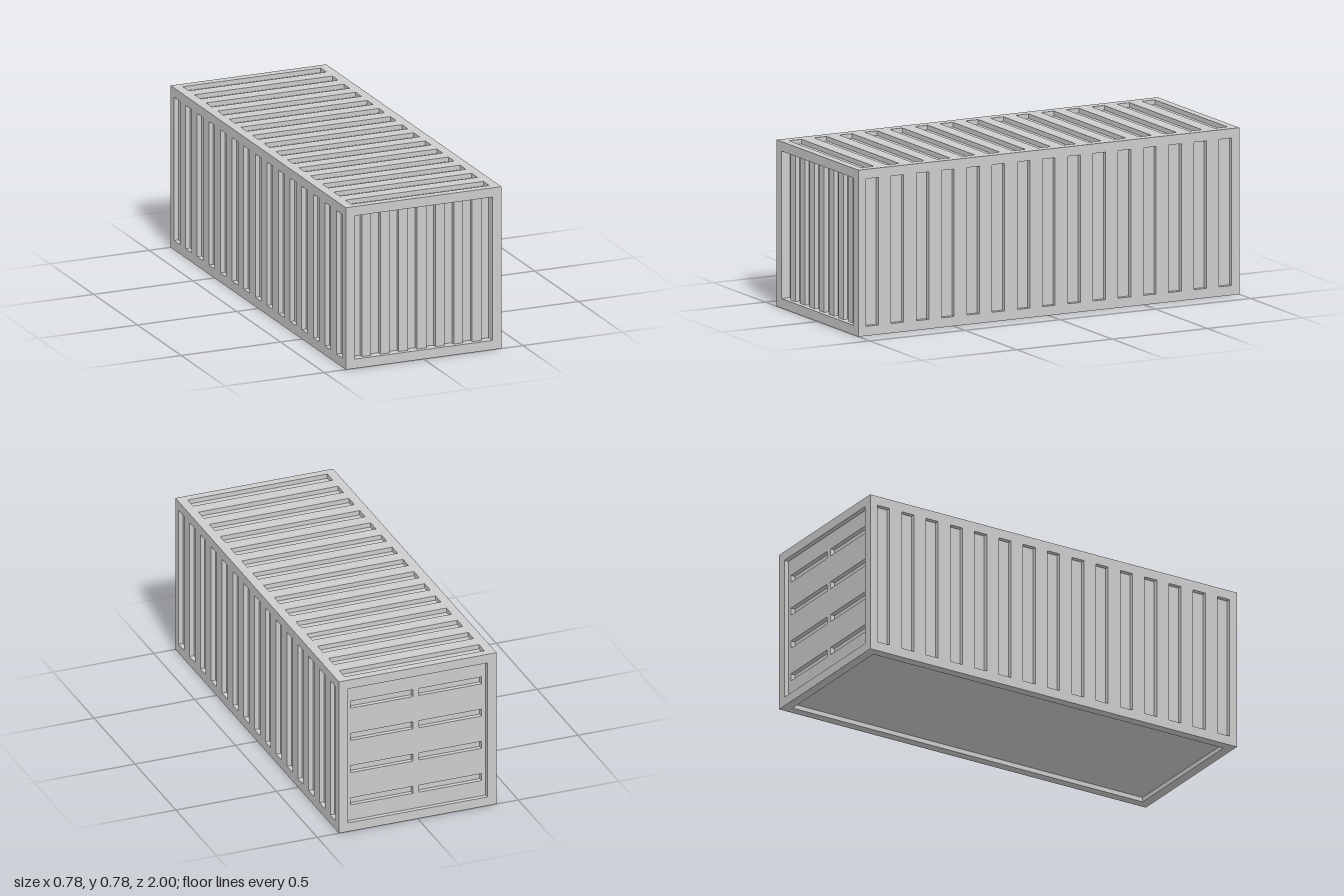
import * as THREE from 'three';

const W = 0.784, H = 0.784, L = 2;   // outer size
const D = 0.022;                     // depth of one recess step
const RIM = 0.045;                   // width of the frame around each face
const SLOTS = 15, PITCH = 0.1325, SLOT = 0.066;

export function createModel() {
  const group = new THREE.Group();
  const steel = new THREE.MeshStandardMaterial({ color: 0xcccccc });
  steel.name = 'grey steel';

  const add = (name, geometry, x, y, z) => {
    const mesh = new THREE.Mesh(geometry, steel);
    mesh.name = name;
    mesh.position.set(x, y, z);
    group.add(mesh);
    return mesh;
  };

  // rectangle centred on (cx, cy)
  const rect = (Type, cx, cy, w, h) => new Type([
    [-1, -1], [1, -1], [1, 1], [-1, 1],
  ].map(([sx, sy]) => new THREE.Vector2(cx + sx * w / 2, cy + sy * h / 2)));

  // flat plate, centred on its middle, with holes given as [cx, cy, w, h]
  const plate = (w, h, depth, holes) => {
    const shape = rect(THREE.Shape, 0, 0, w, h);
    shape.holes = holes.map((hole) => rect(THREE.Path, ...hole));
    return new THREE.ExtrudeGeometry(shape, { depth, bevelEnabled: false })
      .translate(0, 0, -depth / 2);
  };

  const innerW = W - 2 * D, innerH = H - 2 * D;
  const openW = W - 2 * RIM, openH = H - 2 * RIM;
  const slotCentres = Array.from({ length: SLOTS }, (_, i) => (i - (SLOTS - 1) / 2) * PITCH);

  // inner body that closes every recess
  add('innerBody', new THREE.BoxGeometry(innerW, innerH, L - 4 * D), 0, H / 2, 0);

  // side walls with upright slots
  for (const s of [-1, 1]) {
    const wall = add(s > 0 ? 'leftWall' : 'rightWall',
      plate(L, H, D, slotCentres.map((c) => [c, 0, SLOT, openH])),
      s * (W - D) / 2, H / 2, 0);
    wall.rotation.y = s * Math.PI / 2;
  }

  // roof with crosswise slots
  const roof = add('roof',
    plate(innerW, L, D, slotCentres.map((c) => [0, c, openW, SLOT])), 0, H - D / 2, 0);
  roof.rotation.x = -Math.PI / 2;

  // underside rim around a sunken floor
  const base = add('baseRim',
    plate(innerW, L, D, [[0, 0, openW, L - 2 * RIM]]), 0, D / 2, 0);
  base.rotation.x = Math.PI / 2;

  // front frame and corrugated end wall
  add('frontFrame', plate(innerW, innerH, 2 * D, [[0, 0, openW, openH]]), 0, H / 2, L / 2 - D);
  const strip = openW / 15;
  for (let i = -3; i <= 3; i++) {
    add('frontRib', new THREE.BoxGeometry(strip, openH, D), i * 2 * strip, H / 2, L / 2 - 1.5 * D);
  }

  // back frame and doors with four rows of short grooves
  add('backFrame', plate(innerW, innerH, D, [[0, 0, openW, openH]]), 0, H / 2, -L / 2 + D / 2);
  const grooves = [];
  for (const s of [-1, 1]) {
    for (let row = -1.5; row <= 1.5; row++) grooves.push([s * 0.171, row * 0.167, 0.31, 0.036]);
  }
  add('backDoors', plate(innerW, innerH, D, grooves), 0, H / 2, -L / 2 + 1.5 * D);

  return group;
}
